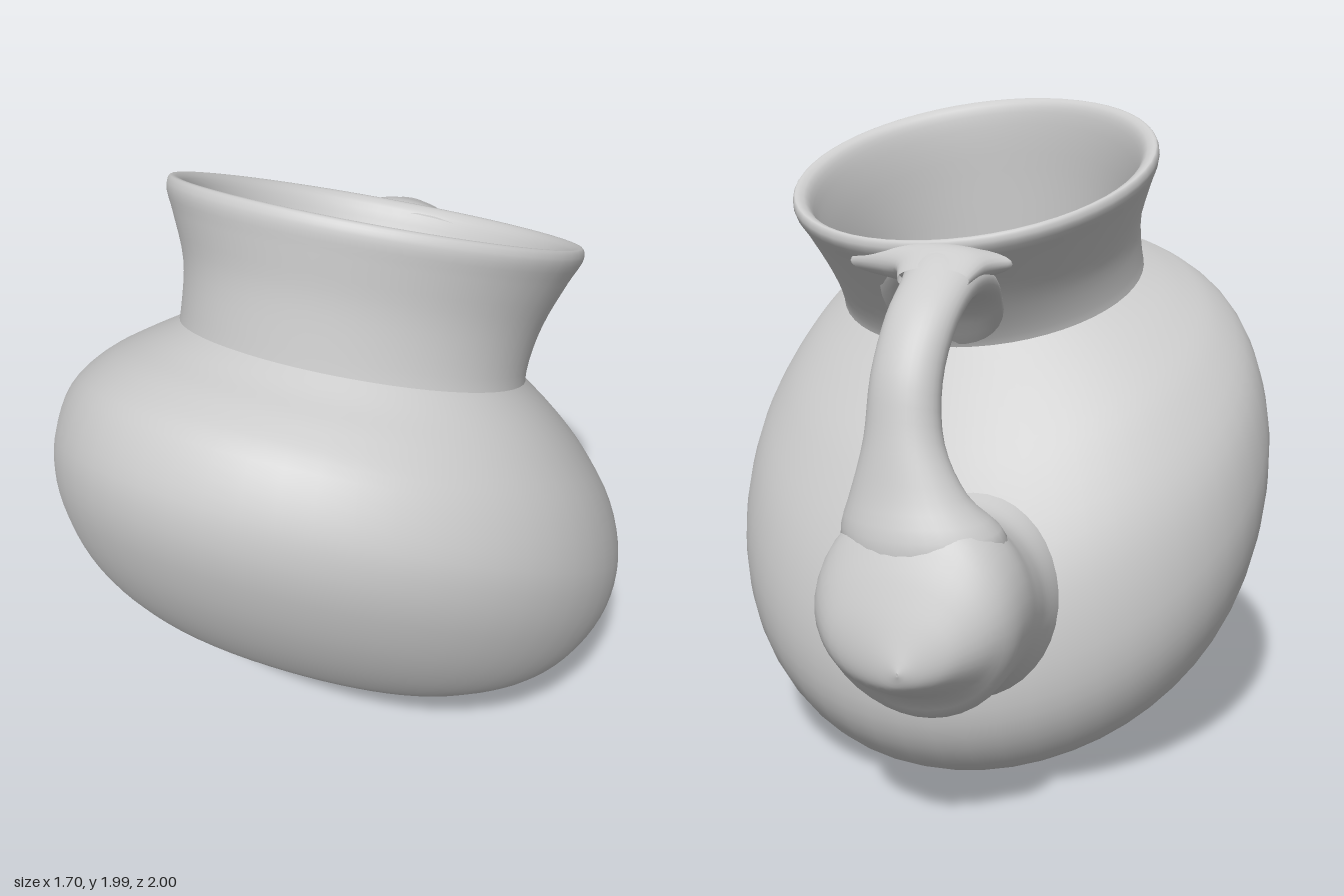
import * as THREE from 'three';

const material = new THREE.MeshStandardMaterial({ color: 0xcccccc, side: THREE.DoubleSide });

// Smooth skin over elliptical sections. Each row is one section:
// [z1, y1, z2, y2, halfWidth, centreX], the ends of its axis in the side plane plus its width.
function loft(name, rows, steps = 4, sides = 56) {
  const a = new THREE.CatmullRomCurve3(rows.map(r => new THREE.Vector3(r[4], r[1], r[0])));
  const b = new THREE.CatmullRomCurve3(rows.map(r => new THREE.Vector3(r[5], r[3], r[2])));
  const n = (rows.length - 1) * steps;
  const pos = [], index = [];
  for (let i = 0; i <= n; i++) {
    const p = a.getPoint(i / n), q = b.getPoint(i / n);
    for (let j = 0; j < sides; j++) {
      const t = (j / sides) * Math.PI * 2, c = Math.cos(t);
      pos.push(
        q.x + p.x * Math.sin(t),
        (p.y + q.y) / 2 + ((p.y - q.y) / 2) * c,
        (p.z + q.z) / 2 + ((p.z - q.z) / 2) * c
      );
      if (i === n) continue;
      const k = i * sides + j, l = i * sides + (j + 1) % sides;
      index.push(k, l, k + sides, l, l + sides, k + sides);
    }
  }
  const g = new THREE.BufferGeometry();
  g.setAttribute('position', new THREE.Float32BufferAttribute(pos, 3));
  g.setIndex(index);
  g.computeVertexNormals();
  const mesh = new THREE.Mesh(g, material);
  mesh.name = name;
  return mesh;
}

export function createModel() {
  const jug = new THREE.Group();
  jug.name = 'jug';

  // Leaning round belly, from the hollow in its base up to the neck
  jug.add(loft('body', [
    [0.435, 0.39, 0.425, 0.38, 0.005, -0.03],
    [0.57, 0.50, 0.30, 0.25, 0.19, -0.03],
    [0.64, 0.525, 0.26, 0.185, 0.26, -0.03],
    [0.72, 0.60, 0.10, 0.105, 0.42, -0.03],
    [0.80, 0.70, -0.10, 0.045, 0.565, -0.03],
    [0.90, 0.88, -0.30, 0.00, 0.70, -0.025],
    [0.97, 1.07, -0.46, 0.04, 0.79, -0.015],
    [1.00, 1.25, -0.56, 0.17, 0.84, -0.005],
    [0.98, 1.38, -0.585, 0.35, 0.845, 0],
    [0.90, 1.50, -0.54, 0.60, 0.795, 0],
    [0.80, 1.55, -0.42, 0.87, 0.695, 0.01],
    [0.71, 1.575, -0.30, 1.06, 0.595, 0.03],
    [0.64, 1.60, -0.18, 1.23, 0.488, 0.05],
  ]));

  // Flared neck, rolled rim and inner wall
  jug.add(loft('neck', [
    [0.65, 1.56, -0.165, 1.19, 0.495, 0.05],
    [0.63, 1.64, -0.19, 1.25, 0.487, 0.05],
    [0.60, 1.78, -0.26, 1.35, 0.50, 0.055],
    [0.59, 1.90, -0.35, 1.46, 0.545, 0.055],
    [0.583, 1.965, -0.40, 1.52, 0.573, 0.055],
    [0.565, 1.988, -0.395, 1.55, 0.565, 0.055],
    [0.54, 1.97, -0.36, 1.54, 0.53, 0.055],
    [0.53, 1.90, -0.31, 1.46, 0.50, 0.055],
    [0.535, 1.70, -0.20, 1.32, 0.465, 0.055],
    [0.54, 1.50, -0.13, 1.20, 0.46, 0.055],
  ]));

  // Flat floor closing the neck
  jug.add(loft('neckFloor', [
    [0.54, 1.50, -0.13, 1.20, 0.46, 0.055],
    [0.206, 1.351, 0.204, 1.349, 0.001, 0.055],
  ], 1));

  // Strap handle arching from the rim to the bulb
  jug.add(loft('handle', [
    [-0.365, 1.53, -0.18, 1.24, 0.19, 0],
    [-0.45, 1.53, -0.28, 1.36, 0.14, -0.07],
    [-0.55, 1.485, -0.42, 1.395, 0.11, -0.095],
    [-0.68, 1.385, -0.55, 1.33, 0.10, -0.10],
    [-0.775, 1.24, -0.64, 1.19, 0.098, -0.10],
    [-0.82, 1.08, -0.67, 1.04, 0.11, -0.11],
    [-0.86, 0.93, -0.665, 0.93, 0.16, -0.13],
    [-0.90, 0.80, -0.58, 0.83, 0.225, -0.16],
    [-0.87, 0.65, -0.56, 0.68, 0.17, -0.16],
  ], 4, 32));

  // Flat web that spreads the top of the handle into the rim
  jug.add(loft('handleRoot', [
    [-0.35, 1.54, -0.35, 1.44, 0.25, 0.0],
    [-0.40, 1.545, -0.40, 1.43, 0.185, -0.04],
    [-0.45, 1.533, -0.45, 1.43, 0.135, -0.075],
    [-0.54, 1.488, -0.53, 1.42, 0.105, -0.095],
  ], 4, 32));

  // Bulb at the foot of the handle, ending in a blunt tip
  jug.add(loft('handleBulb', [
    [-0.40, 0.86, -0.48, 0.27, 0.27, -0.16],
    [-0.50, 0.84, -0.59, 0.32, 0.27, -0.16],
    [-0.60, 0.86, -0.67, 0.355, 0.275, -0.165],
    [-0.72, 0.92, -0.74, 0.35, 0.285, -0.165],
    [-0.83, 0.90, -0.80, 0.345, 0.28, -0.165],
    [-0.90, 0.80, -0.87, 0.42, 0.245, -0.165],
    [-0.95, 0.69, -0.945, 0.46, 0.17, -0.165],
    [-0.985, 0.59, -0.985, 0.49, 0.06, -0.19],
    [-1.00, 0.54, -1.00, 0.53, 0.003, -0.21],
  ], 4, 40));

  return jug;
}
